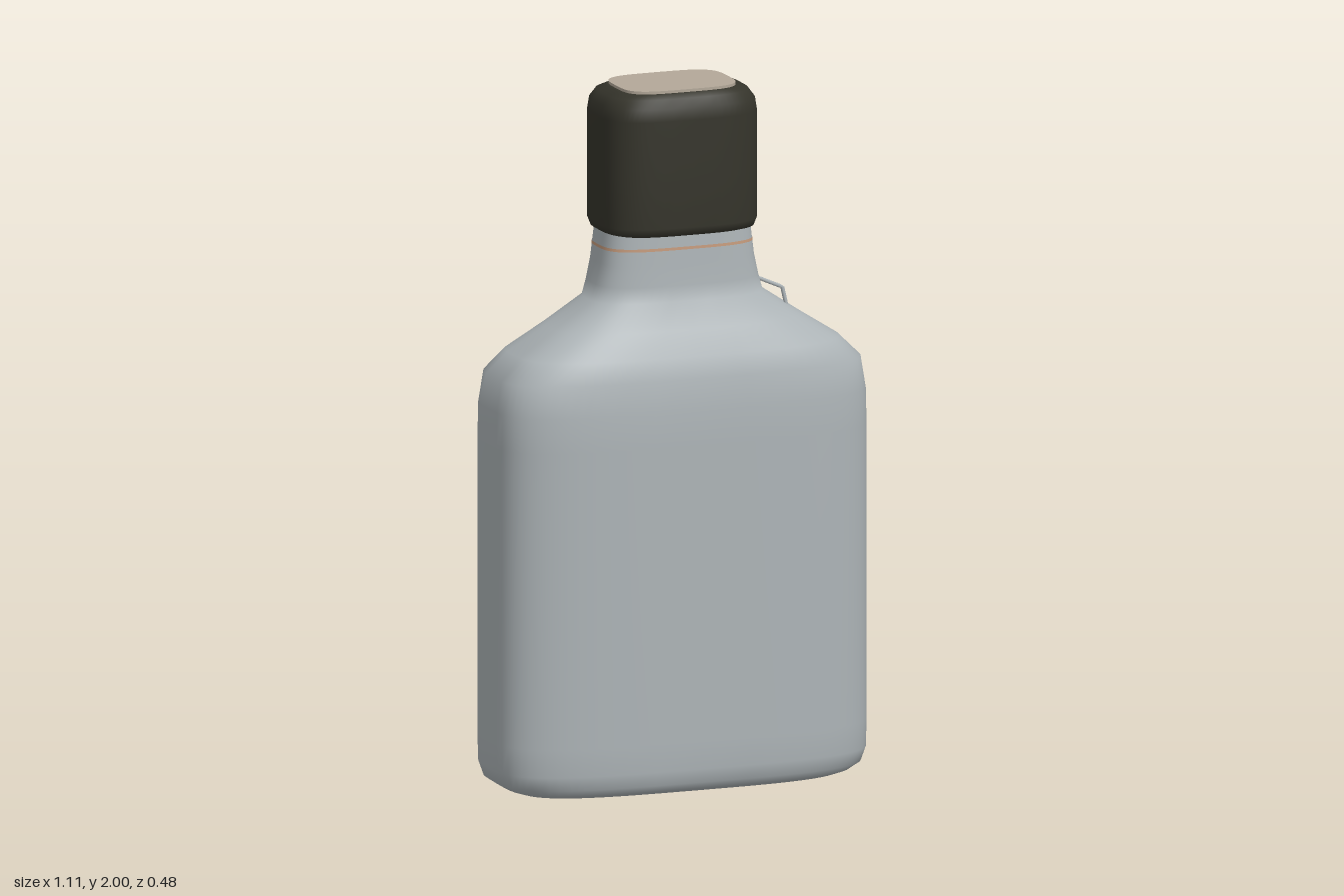
import * as THREE from 'three';

const SEGMENTS = 64;

// Rounded-rectangle loft: each section is [y, halfWidth, halfDepth, squareness]
function loft(sections, closeBottom = true, closeTop = true) {
  const pos = [], idx = [];
  const bulge = (v, n) => Math.sign(v) * Math.pow(Math.abs(v), 2 / n);
  const addRing = ([y, w, d, n = 3.4]) => {
    const start = pos.length / 3;
    for (let j = 0; j < SEGMENTS; j++) {
      const a = (j / SEGMENTS) * Math.PI * 2;
      pos.push(w * bulge(Math.cos(a), n), y, d * bulge(Math.sin(a), n));
    }
    return start;
  };
  const rings = sections.map(addRing);
  for (let i = 0; i < rings.length - 1; i++) {
    for (let j = 0; j < SEGMENTS; j++) {
      const k = (j + 1) % SEGMENTS;
      const a = rings[i] + j, b = rings[i] + k, c = rings[i + 1] + j, d = rings[i + 1] + k;
      idx.push(a, c, b, b, c, d);
    }
  }
  // Flat ends have their own vertices so the rim stays crisp
  const closeEnd = (section, up) => {
    const start = addRing(section), centre = pos.length / 3;
    pos.push(0, section[0], 0);
    for (let j = 0; j < SEGMENTS; j++) {
      const p = start + j, q = start + (j + 1) % SEGMENTS;
      idx.push(centre, up ? q : p, up ? p : q);
    }
  };
  if (closeBottom) closeEnd(sections[0], false);
  if (closeTop) closeEnd(sections[sections.length - 1], true);
  const g = new THREE.BufferGeometry();
  g.setAttribute('position', new THREE.Float32BufferAttribute(pos, 3));
  g.setIndex(idx);
  g.computeVertexNormals();
  return g;
}

function material(name, color) {
  const m = new THREE.MeshStandardMaterial({ color });
  m.name = name;
  return m;
}

export function createModel() {
  const group = new THREE.Group();
  group.name = 'flaskBottle';
  const glass = material('greyGlass', 0xadb4b7);
  const dark = material('darkCap', 0x35342b);
  const beige = material('beigeInlay', 0xb3a899);
  const copper = material('copperLine', 0xc49a7c);

  const add = (name, geometry, mat) => {
    const mesh = new THREE.Mesh(geometry, mat);
    mesh.name = name;
    group.add(mesh);
  };

  // Body, shoulders and neck
  add('bottleBody', loft([
    [0, 0.48, 0.195],
    [0.01, 0.51, 0.215],
    [0.03, 0.54, 0.231],
    [0.07, 0.554, 0.239],
    [0.15, 0.556, 0.24],
    [1.0, 0.556, 0.24],
    [1.1, 0.554, 0.237],
    [1.19, 0.54, 0.228],
    [1.25, 0.48, 0.21, 3.2],
    [1.32, 0.37, 0.174, 3],
    [1.395, 0.257, 0.136, 3],
    [1.44, 0.243, 0.131, 3.2],
    [1.5, 0.229, 0.127, 3.4],
    [1.6, 0.217, 0.122, 3.4],
  ]), glass);

  // Fine line around the neck
  add('neckLine', loft([
    [1.541, 0.2255, 0.1262],
    [1.549, 0.2245, 0.1257],
  ], false, false), copper);

  // Cap
  add('cap', loft([
    [1.585, 0.205, 0.142],
    [1.59, 0.222, 0.157],
    [1.612, 0.23, 0.165],
    [1.75, 0.23, 0.165],
    [1.92, 0.23, 0.165],
    [1.955, 0.225, 0.16],
    [1.98, 0.207, 0.146],
    [1.992, 0.178, 0.127],
  ]), dark);

  // Inlay on top of the cap
  add('capInlay', loft([
    [1.991, 0.17, 0.122, 3.8],
    [2.0, 0.17, 0.122, 3.8],
  ]), beige);

  // Small wire hook on the left shoulder
  const hook = new THREE.CurvePath();
  const points = [[0.24, 1.425, 0.044], [0.31, 1.395, 0.058], [0.322, 1.335, 0.064]]
    .map(p => new THREE.Vector3(...p));
  hook.add(new THREE.LineCurve3(points[0], points[1]));
  hook.add(new THREE.LineCurve3(points[1], points[2]));
  add('shoulderHook', new THREE.TubeGeometry(hook, 16, 0.006, 6, false), glass);

  return group;
}
